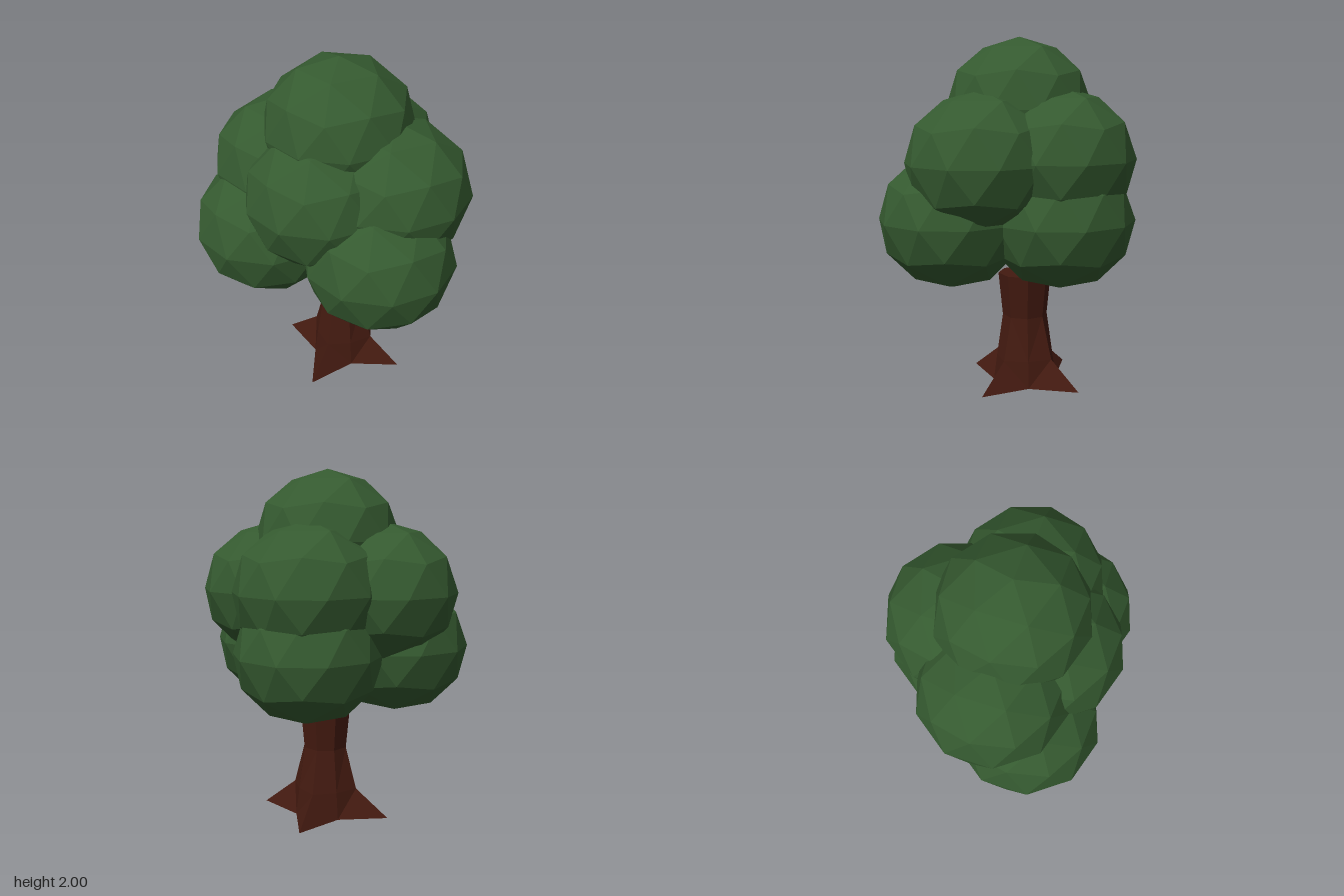
import * as THREE from 'three';

const leafMaterial = new THREE.MeshStandardMaterial({ color: 0x355a30, flatShading: true });
const barkMaterial = new THREE.MeshStandardMaterial({ color: 0x431a10, flatShading: true });

// Faceted ball with a vertex at the top, slightly flattened
function makeClumpGeometry() {
  const geometry = new THREE.IcosahedronGeometry(1, 1);
  geometry.rotateZ(-Math.atan(2 / (1 + Math.sqrt(5))));
  geometry.scale(0.42, 0.395, 0.42);
  return geometry;
}

// Eight-sided trunk: the four axis corners flare out into pointed roots
function makeTrunkGeometry() {
  // [height, radius at the roots, radius between the roots]
  const rings = [
    [0, 0.39, 0.185],
    [0.155, 0.195, 0.165],
    [0.4, 0.13, 0.13],
    [0.65, 0.155, 0.155],
  ];
  const sides = 8;
  const positions = [];
  const indices = [];
  for (const [y, rootRadius, gapRadius] of rings) {
    for (let i = 0; i < sides; i++) {
      const angle = (i / sides) * Math.PI * 2;
      const r = i % 2 ? gapRadius : rootRadius;
      positions.push(r * Math.sin(angle), y, r * Math.cos(angle));
    }
  }
  const bottom = rings.length * sides;
  const top = bottom + 1;
  positions.push(0, 0, 0, 0, 0.65, 0);
  const last = (rings.length - 1) * sides;
  for (let i = 0; i < sides; i++) {
    const j = (i + 1) % sides;
    for (let k = 0; k < last; k += sides) {
      // Mirror the diagonal so each root is symmetrical
      const a = k + i, b = k + j, c = k + sides + j, d = k + sides + i;
      if (i % 2) indices.push(a, b, c, a, c, d);
      else indices.push(a, b, d, b, c, d);
    }
    indices.push(bottom, j, i, top, last + i, last + j);
  }
  const geometry = new THREE.BufferGeometry();
  geometry.setAttribute('position', new THREE.Float32BufferAttribute(positions, 3));
  geometry.setIndex(indices);
  geometry.computeVertexNormals();
  return geometry;
}

export function createModel() {
  const tree = new THREE.Group();
  tree.name = 'tree';

  const trunk = new THREE.Mesh(makeTrunkGeometry(), barkMaterial);
  trunk.name = 'trunk';
  tree.add(trunk);

  // Overlapping leaf clumps
  const foliage = new THREE.Group();
  foliage.name = 'foliage';
  const clumpGeometry = makeClumpGeometry();
  const clumps = {
    topClump: [0, 1.605, 0.04],
    upperLeftClump: [0.335, 1.315, 0.04],
    upperRightClump: [-0.335, 1.315, 0.04],
    upperFrontClump: [0, 1.28, 0.247],
    upperBackClump: [0, 1.33, -0.252],
    lowerLeftClump: [0.352, 0.99, 0.237],
    lowerRightClump: [-0.352, 0.99, 0.237],
    lowerBackClump: [0, 0.99, -0.252],
  };
  for (const [name, position] of Object.entries(clumps)) {
    const clump = new THREE.Mesh(clumpGeometry, leafMaterial);
    clump.name = name;
    clump.position.set(...position);
    foliage.add(clump);
  }
  tree.add(foliage);
  return tree;
}
